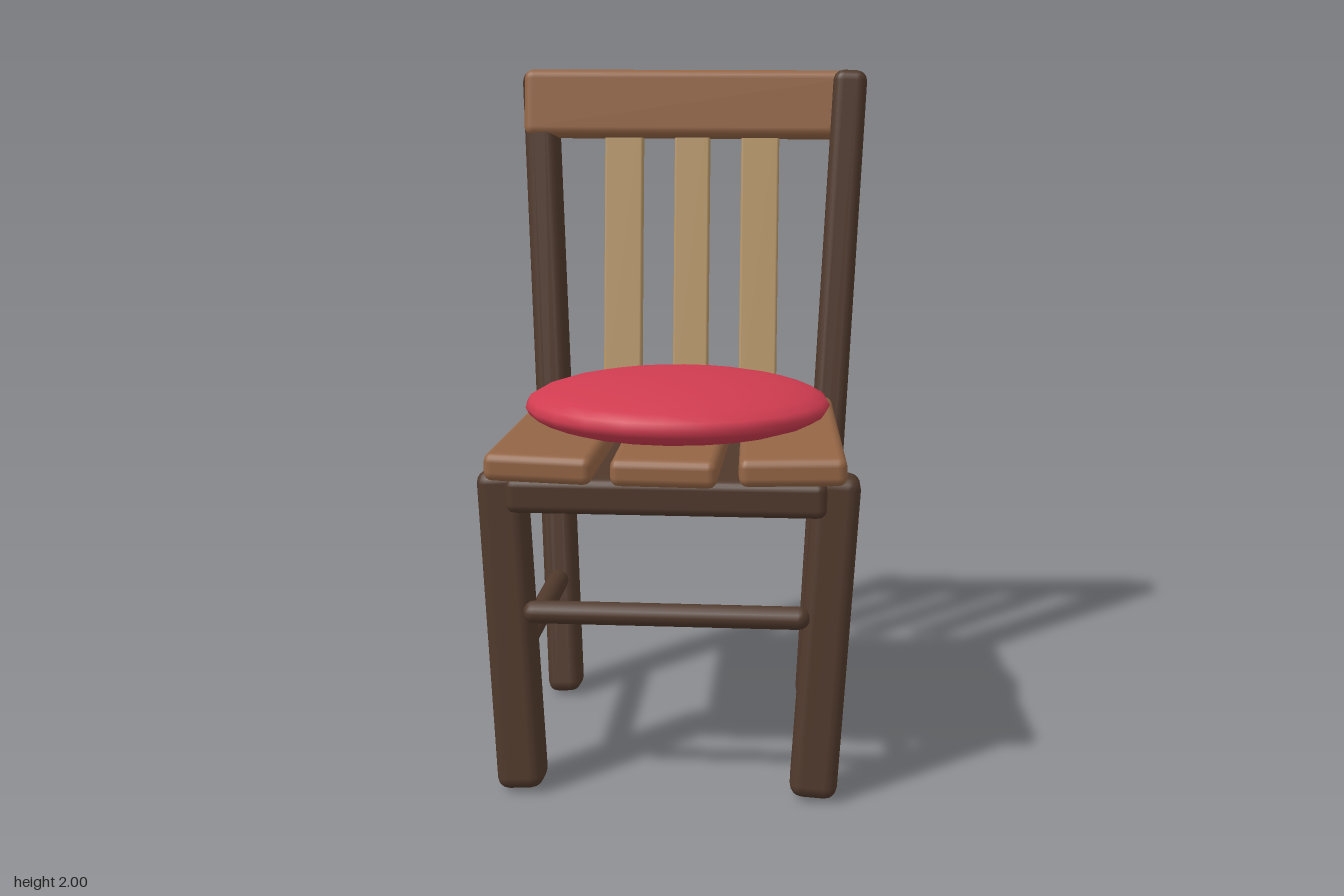
import * as THREE from 'three';
import { RoundedBoxGeometry } from 'three/addons/geometries/RoundedBoxGeometry.js';

const material = (name, color) => {
  const m = new THREE.MeshStandardMaterial({ color });
  m.name = name;
  return m;
};

export function createModel() {
  const darkWood = material('dark wood', 0x50392c);
  const midWood = material('medium wood', 0x946545);
  const paleWood = material('pale wood', 0xb9986a);
  const redCloth = material('red cloth', 0xd03c50);

  const chair = new THREE.Group();
  chair.name = 'chair';
  const UP = new THREE.Vector3(0, 1, 0);

  const add = (name, geometry, mat, position = [0, 0, 0], rotation = [0, 0, 0]) => {
    const mesh = new THREE.Mesh(geometry, mat);
    mesh.name = name;
    mesh.position.set(...position);
    mesh.rotation.set(...rotation, 'YXZ');
    chair.add(mesh);
    return mesh;
  };
  const block = (w, h, d, r) => new RoundedBoxGeometry(w, h, d, 2, r);

  // Rounded post running from one point to another
  const post = (name, from, to, w, d, r, mat) => {
    const a = new THREE.Vector3(...from);
    const b = new THREE.Vector3(...to);
    const dir = b.clone().sub(a);
    const mesh = add(name, block(w, dir.length(), d, r), mat);
    mesh.position.copy(a).add(b).multiplyScalar(0.5);
    mesh.quaternion.setFromUnitVectors(UP, dir.normalize());
  };

  // Legs, side rungs and cushion ties, mirrored
  for (const s of [-1, 1]) {
    const side = s > 0 ? 'left' : 'right';
    post(side + 'FrontLeg', [s * 0.405, 0.008, 0.47], [s * 0.46, 0.905, 0.418], 0.13, 0.135, 0.035, darkWood);
    post(side + 'BackLeg', [s * 0.4, 0.005, -0.3], [s * 0.495, 1.993, -0.53], 0.105, 0.13, 0.033, darkWood);
    add(side + 'SideRung', new THREE.CapsuleGeometry(0.033, 0.68, 4, 12), darkWood,
      [s * 0.42, 0.38, 0.06], [Math.PI / 2, 0, 0]);

    const tie = new THREE.CatmullRomCurve3([
      [0.37, 1.005, -0.295], [0.425, 0.97, -0.37], [0.41, 0.86, -0.455], [0.4, 0.805, -0.475],
    ].map(([x, y, z]) => new THREE.Vector3(s * x, y, z)));
    add(side + 'CushionTie', new THREE.TubeGeometry(tie, 12, 0.014, 6), redCloth).material.side = THREE.DoubleSide;
  }
  add('frontRung', new THREE.CapsuleGeometry(0.032, 0.72, 4, 12), darkWood,
    [0, 0.52, 0.498], [0, 0, Math.PI / 2]);

  // Seat frame
  add('seatFrame', block(0.865, 0.1, 0.87, 0.025), darkWood, [0, 0.85, 0.095]);

  // Three slightly uneven seat planks
  add('rightSeatPlank', block(0.292, 0.078, 0.985, 0.025), midWood, [-0.332, 0.935, 0.087], [0, -0.008, -0.03]);
  add('leftSeatPlank', block(0.285, 0.078, 0.985, 0.025), midWood, [0.325, 0.938, 0.09], [0, 0.035, 0.02]);
  const middle = block(0.297, 0.076, 0.97, 0.025);
  const p = middle.attributes.position;
  for (let i = 0; i < p.count; i++) {
    const x = p.getX(i), z = p.getZ(i);
    p.setXYZ(i, x * (1 - 0.085 * z), p.getY(i), z * (1 + 0.07 * x));
  }
  add('middleSeatPlank', middle, midWood, [0, 0.929, 0.1]);

  // Crooked top rail
  add('topRail', block(1.05, 0.212, 0.105, 0.03), midWood, [-0.015, 1.89, -0.52], [-0.115, 0.045, -0.004]);

  // Back slats
  [[-0.222, 0.122], [-0.004, 0.112], [0.212, 0.12]].forEach(([x, w], i) => {
    post('backSlat' + (i + 1), [x, 0.97, -0.425 - i * 0.004], [x, 1.87, -0.522 - i * 0.006], w, 0.05, 0.008, paleWood);
  });

  // Seat cushion
  const cushion = add('cushion', new THREE.SphereGeometry(1, 24, 14), redCloth, [0, 1.038, 0.115]);
  cushion.scale.set(0.44, 0.09, 0.44);

  return chair;
}
